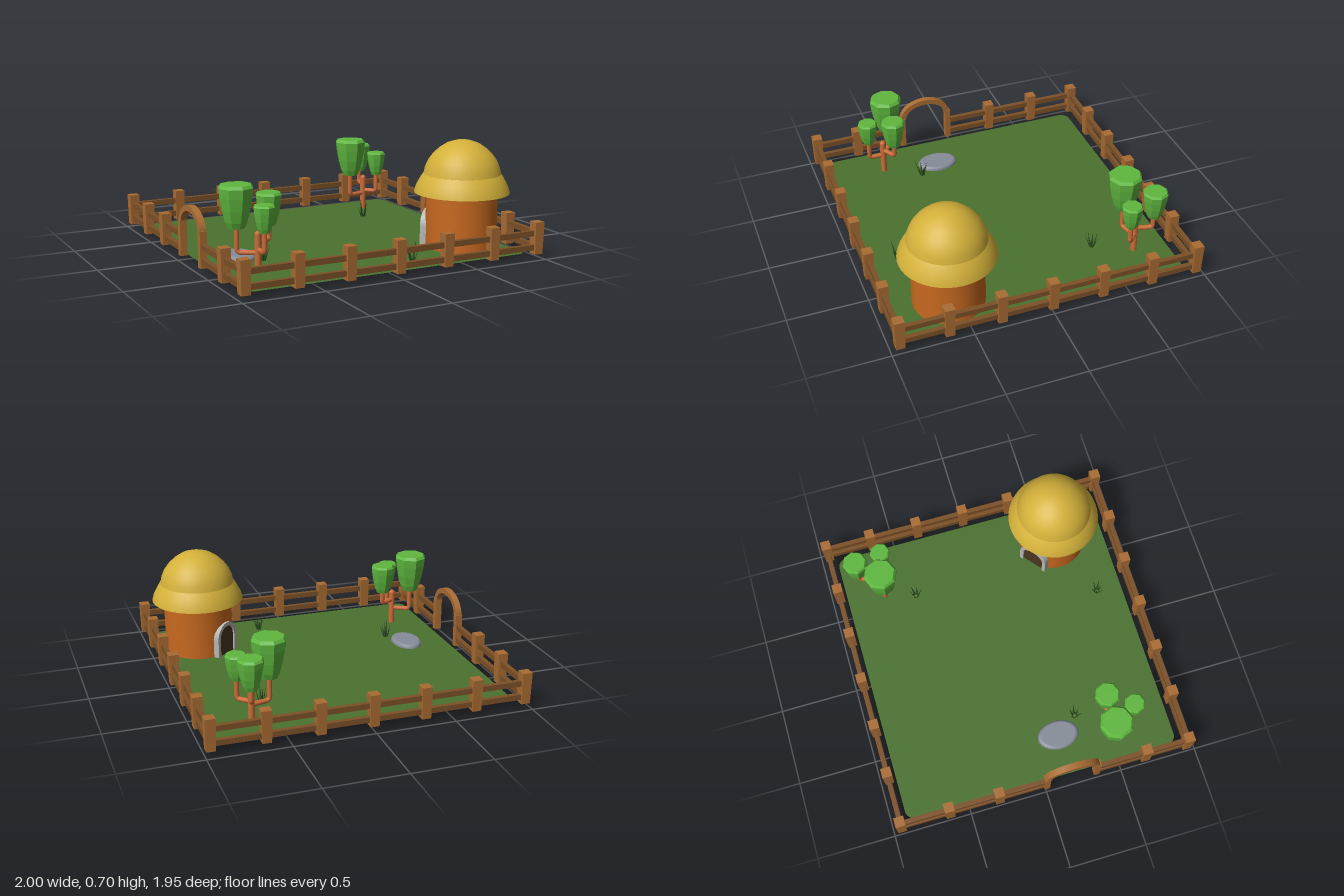
import * as THREE from 'three';
import { toCreasedNormals } from 'three/addons/utils/BufferGeometryUtils.js';

const mat = (color, opts = {}) => new THREE.MeshStandardMaterial({ color, ...opts });
const GRASS = mat(0x4a722f, { side: THREE.DoubleSide });
const WALL = mat(0xc8691f);
const STRAW = mat(0xd4b13a);
const POST = mat(0xa96c33);
const RAIL = mat(0x7c5026);
const STEM = mat(0xcb6c38);
const LEAF = mat(0x5fb83f, { flatShading: true });
const STONE = mat(0x868d99);
const FRAME = mat(0xb4b4b0);
const DARK = mat(0x4a3520, { side: THREE.DoubleSide });
const BLADE = mat(0x2f5420, { side: THREE.DoubleSide });

function add(parent, name, geometry, material, x = 0, y = 0, z = 0) {
  const mesh = new THREE.Mesh(geometry, material);
  mesh.name = name;
  mesh.position.set(x, y, z);
  parent.add(mesh);
  return mesh;
}

function group(parent, name, x = 0, y = 0, z = 0) {
  const g = new THREE.Group();
  g.name = name;
  g.position.set(x, y, z);
  parent.add(g);
  return g;
}

// Lathe from [radius, height] pairs, bottom to top
const lathe = (pts, sides) =>
  toCreasedNormals(new THREE.LatheGeometry(pts.map(p => new THREE.Vector2(...p)), sides), 0.6);

// Rounded lawn sheet
function lawn(parent) {
  const w = 0.93, d = 0.9, r = 0.06, s = new THREE.Shape();
  s.absarc(w - r, d - r, r, 0, Math.PI / 2);
  s.absarc(-w + r, d - r, r, Math.PI / 2, Math.PI);
  s.absarc(-w + r, -d + r, r, Math.PI, Math.PI * 1.5);
  s.absarc(w - r, -d + r, r, Math.PI * 1.5, Math.PI * 2);
  add(parent, 'lawn', new THREE.ShapeGeometry(s, 8).rotateX(-Math.PI / 2), GRASS, 0, 0.025, 0);
}

// Upright arch outline: straight legs and a round head
function archPath(path, r, leg) {
  path.moveTo(r, 0);
  path.lineTo(r, leg);
  path.absarc(0, leg, r, 0, Math.PI, false);
  path.lineTo(-r, 0);
  return path;
}

// Fence: posts, rails and the arched gate on the -x side
function fence(parent) {
  const f = group(parent, 'fence');
  const X = 0.967, Z = 0.945;
  const postGeo = new THREE.CylinderGeometry(0.0445, 0.039, 0.2, 4)
    .rotateY(Math.PI / 4).toNonIndexed();
  postGeo.computeVertexNormals();
  const post = (x, z) => add(f, 'post', postGeo, POST, x, 0.13, z);
  const rails = (x0, z0, x1, z1) => {
    for (const y of [0.072, 0.16]) {
      add(f, 'rail', new THREE.BoxGeometry(Math.abs(x1 - x0) + 0.03, 0.034, Math.abs(z1 - z0) + 0.03),
        RAIL, (x0 + x1) / 2, y, (z0 + z1) / 2);
    }
  };
  for (const s of [1, -1]) {
    for (let i = -3; i <= 3; i++) post(i * X / 3, s * Z);
    rails(-X, s * Z, X, s * Z);
  }
  for (let i = -2; i <= 2; i++) post(X, i * 0.3225);
  rails(X, -Z, X, Z);
  for (const z of [-0.63, -0.305, 0.665]) post(-X, z);
  rails(-X, -Z, -X, 0);
  rails(-X, 0.35, -X, Z);

  // Gate arch on two slim legs
  const gate = group(f, 'gateArch', -X, 0, 0.172);
  for (const z of [-0.165, 0.165]) {
    add(gate, 'gateLeg', new THREE.BoxGeometry(0.045, 0.22, 0.036), POST, 0, 0.14, z);
  }
  const s = new THREE.Shape();
  s.absellipse(0, 0, 0.176, 0.13, 0, Math.PI, false);
  s.absellipse(0, 0, 0.14, 0.095, Math.PI, 0, true);
  const bow = new THREE.ExtrudeGeometry(s, { depth: 0.04, bevelEnabled: false, curveSegments: 20 });
  add(gate, 'gateBow', bow.translate(0, 0, -0.02).rotateY(Math.PI / 2), POST, 0, 0.24, 0);
}

// Round hut with a two-tier straw roof and an arched doorway
function hut(parent) {
  const h = group(parent, 'hut', 0.678, 0, 0.552);
  add(h, 'wall', lathe([[0.207, 0.4], [0.207, 0], [0.222, 0], [0.222, 0.4]], 40), WALL);
  add(h, 'roofSkirt', lathe([[0, 0.385], [0.21, 0.375], [0.297, 0.37], [0.288, 0.405],
    [0.27, 0.44], [0.25, 0.475], [0.225, 0.505]], 40), STRAW);
  add(h, 'roofDome', lathe([[0.22, 0.48], [0.24, 0.488], [0.232, 0.525], [0.213, 0.57], [0.184, 0.61],
    [0.145, 0.647], [0.1, 0.676], [0.05, 0.693], [0, 0.698]], 40), STRAW);

  const door = group(h, 'doorway');
  door.rotation.y = Math.atan2(-0.64, -0.77);
  const frame = archPath(new THREE.Shape(), 0.1, 0.14);
  frame.lineTo(-0.075, 0);
  frame.lineTo(-0.075, 0.14);
  frame.absarc(0, 0.14, 0.075, Math.PI, 0, true);
  frame.lineTo(0.075, 0);
  add(door, 'doorFrame', new THREE.ExtrudeGeometry(frame,
    { depth: 0.05, bevelEnabled: false, curveSegments: 16 }), FRAME, 0, 0.005, 0.187);
  add(door, 'doorPanel', new THREE.ShapeGeometry(archPath(new THREE.Shape(), 0.08, 0.14), 16),
    DARK, 0, 0.005, 0.225);
}

// Trunk with three bent arms, each carrying a faceted crown
function tree(parent, x, z, turn) {
  const t = group(parent, 'tree', x, 0, z);
  t.rotation.y = turn;
  add(t, 'trunk', new THREE.CylinderGeometry(0.02, 0.02, 0.22, 12), STEM, 0, 0.14, 0);
  add(t, 'trunkTop', new THREE.SphereGeometry(0.02, 12, 8), STEM, 0, 0.25, 0);
  const arms = [ // x, z, arm height, crown radius, crown bottom, crown top
    [-0.105, -0.065, 0.14, 0.107, 0.285, 0.54],
    [0.095, -0.055, 0.2, 0.08, 0.283, 0.478],
    [0, 0.095, 0.16, 0.066, 0.278, 0.44],
  ];
  for (const [ax, az, ay, r, y0, y1] of arms) {
    const path = new THREE.CurvePath();
    const a = new THREE.Vector3(0, ay, 0), b = new THREE.Vector3(ax * 0.8, ay, az * 0.8);
    const corner = new THREE.Vector3(ax, ay, az);
    const c = new THREE.Vector3(ax, ay + 0.025, az), d = new THREE.Vector3(ax, y0 + 0.02, az);
    path.add(new THREE.LineCurve3(a, b));
    path.add(new THREE.QuadraticBezierCurve3(b, corner, c));
    path.add(new THREE.LineCurve3(c, d));
    add(t, 'arm', new THREE.TubeGeometry(path, 24, 0.015, 10), STEM);
    const profile = [[0, 0], [0.48, 0], [0.64, 0.15], [0.82, 0.42], [0.95, 0.72],
      [1, 0.93], [0.87, 1], [0, 1]].map(([pr, py]) => [pr * r, py * (y1 - y0)]);
    add(t, 'crown', lathe(profile, 8), LEAF, ax, y0, az);
  }
}

// Tuft of thin pointed blades leaning outward
function tuft(parent, x, z, turn) {
  const g = group(parent, 'grassTuft', x, 0.02, z);
  g.rotation.y = turn;
  for (let i = 0; i < 6; i++) {
    const height = 0.085 + 0.02 * (i % 3);
    const blade = new THREE.ConeGeometry(0.009, height, 4).scale(1, 1, 0.4).translate(0, height / 2, 0);
    const spin = i * Math.PI / 3;
    const m = add(g, 'blade', blade, BLADE, 0.012 * Math.sin(spin), 0, 0.012 * Math.cos(spin));
    m.rotation.set(0.22 + 0.1 * (i % 2), spin, 0, 'YXZ');
  }
}

export function createModel() {
  const model = new THREE.Group();
  model.name = 'gardenPen';
  lawn(model);
  fence(model);
  hut(model);
  tree(model, -0.71, 0.55, 0);
  tree(model, 0.655, -0.68, 0.8);

  // Flat oval stone
  add(model, 'stone', lathe([[0, 0.003], [0.085, 0.003], [0.093, 0.012], [0.095, 0.03],
    [0.09, 0.043], [0.08, 0.05], [0, 0.05]], 28), STONE, -0.67, 0, 0.18).scale.z = 1.42;

  tuft(model, 0.215, 0.73, 0);
  tuft(model, -0.575, 0.32, 0.5);
  tuft(model, 0.53, -0.45, 1);
  return model;
}
